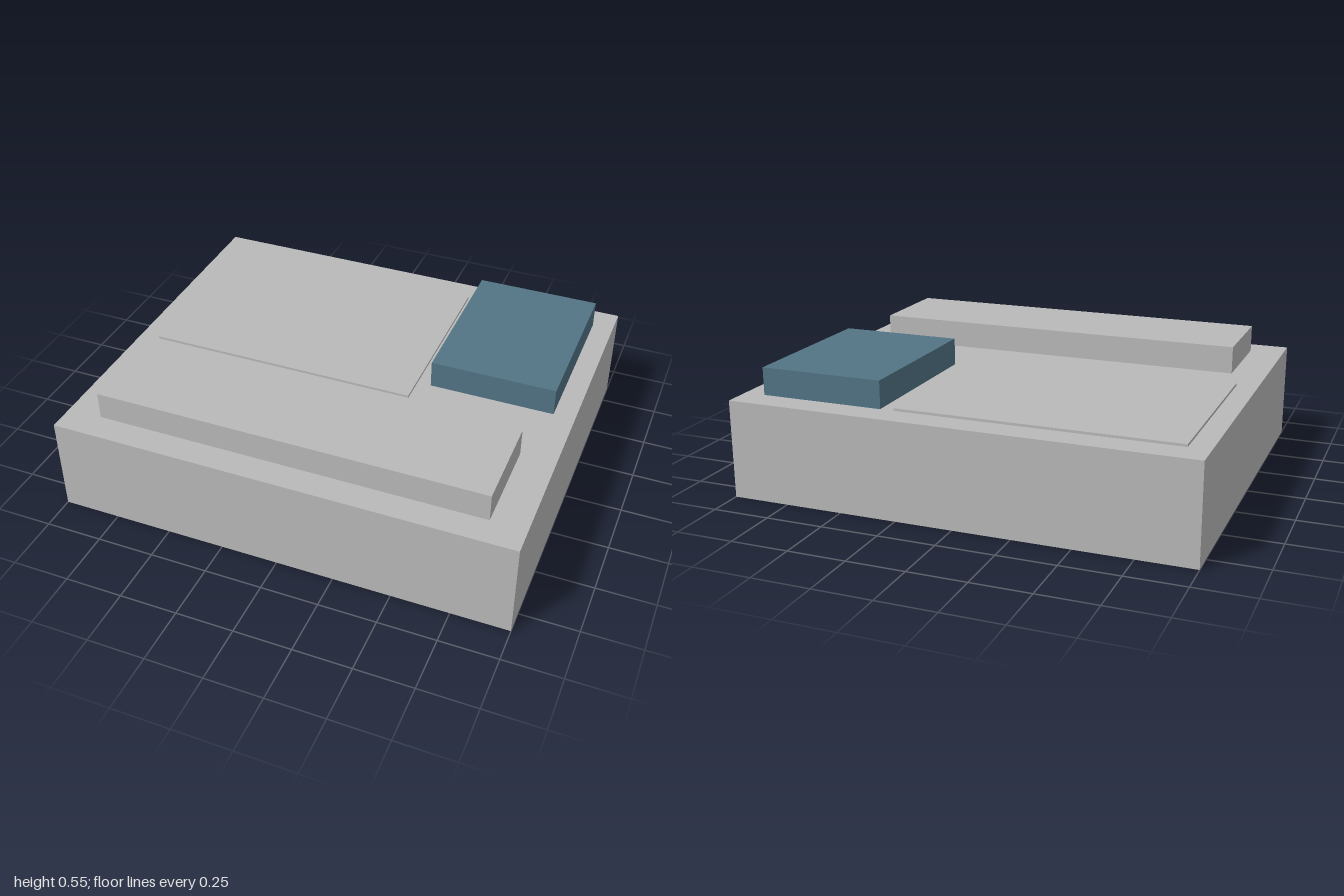
import * as THREE from 'three';

export function createModel() {
  const grey = new THREE.MeshStandardMaterial({ color: 0xb9b9b9 });
  grey.name = 'light grey';
  const blue = new THREE.MeshStandardMaterial({ color: 0x527485 });
  blue.name = 'slate blue';

  const model = new THREE.Group();
  model.name = 'blockModel';

  // Box given by its extents on each axis
  function block(name, material, [x0, x1], [y0, y1], [z0, z1]) {
    const mesh = new THREE.Mesh(new THREE.BoxGeometry(x1 - x0, y1 - y0, z1 - z0), material);
    mesh.position.set((x0 + x1) / 2, (y0 + y1) / 2, (z0 + z1) / 2);
    mesh.name = name;
    model.add(mesh);
  }

  const deck = 0.426, top = 0.546;
  block('base', grey, [-1, 1], [0, deck], [-0.848, 0.848]);
  // Long bar along the front
  block('frontBar', grey, [-0.848, 0.848], [deck, top], [0.304, 0.727]);
  // Thin raised panel at the back
  block('panel', grey, [-0.908, 0.302], [deck, 0.437], [-0.727, 0.121]);
  // Coloured block beside the panel
  block('sideBlock', blue, [0.362, 0.907], [deck, top], [-0.727, 0]);

  return model;
}
